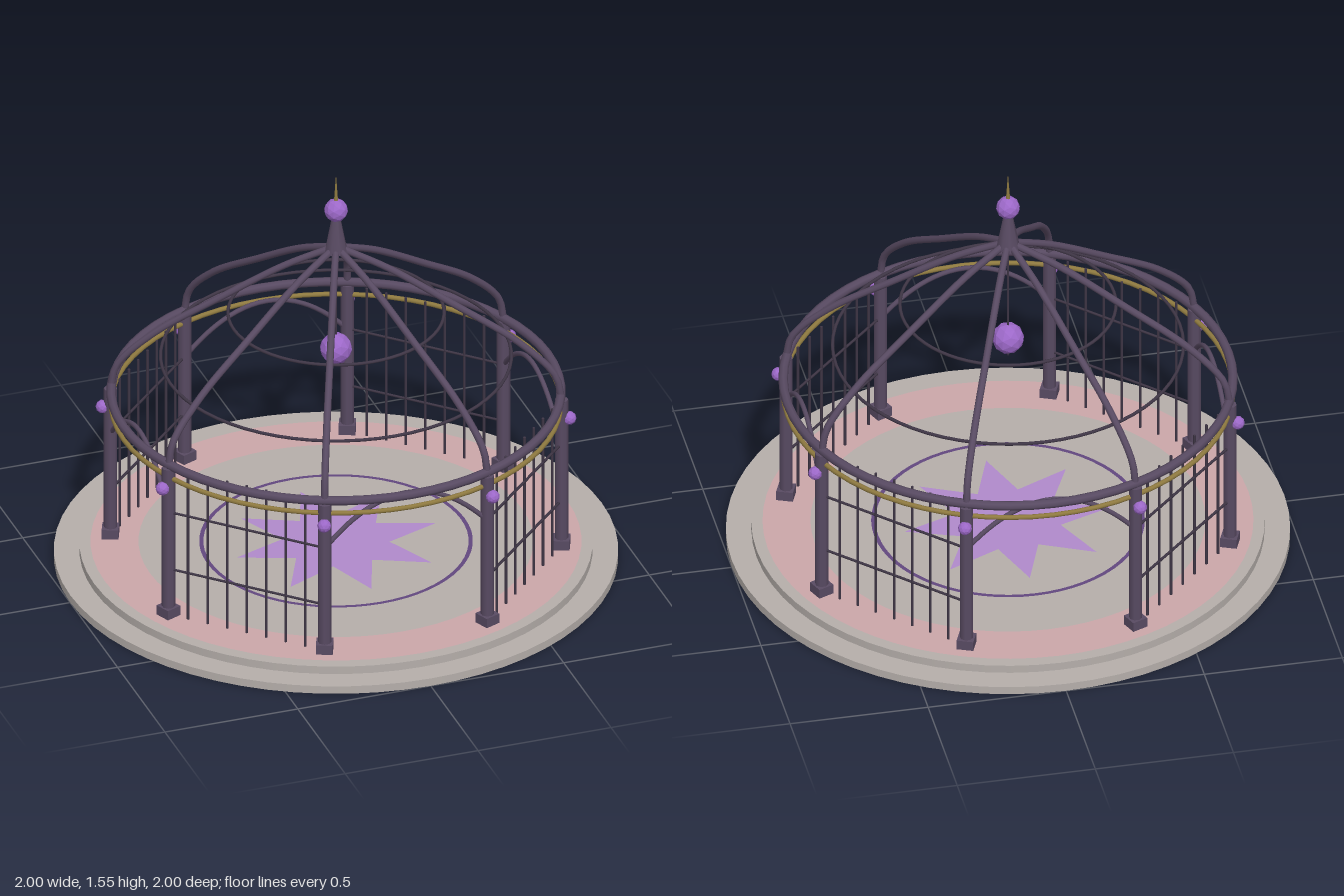
import * as THREE from 'three';

const mat = (name, color, extra = {}) => {
  const m = new THREE.MeshStandardMaterial({ color, ...extra });
  m.name = name;
  return m;
};

export function createModel() {
  const stone = mat('stone', 0xb5aeaa);
  const pink = mat('pink stone', 0xcba6a9);
  const metal = mat('plum metal', 0x584a62);
  const dark = mat('dark iron', 0x3f3646);
  const inlay = mat('violet inlay', 0x62477f);
  const lilac = mat('lilac inlay', 0xb08acb);
  const glass = mat('violet glass', 0x9c68c8, { flatShading: true });
  const gold = mat('old gold', 0x8f7a40);

  const model = new THREE.Group();
  model.name = 'pavilion';
  const add = (parent, name, geo, material, x = 0, y = 0, z = 0) => {
    const m = new THREE.Mesh(geo, material);
    m.name = name;
    m.position.set(x, y, z);
    parent.add(m);
    return m;
  };
  // Group turned so that its local +x points outward at angle a
  const spoke = (name, a) => {
    const g = new THREE.Group();
    g.name = name;
    g.rotation.y = -a;
    model.add(g);
    return g;
  };
  const hoop = (name, r, tube, y, material) => {
    add(model, name, new THREE.TorusGeometry(r, tube, 8, 64).rotateX(Math.PI / 2), material, 0, y, 0);
  };
  const flat = (name, geo, material, y) =>
    add(model, name, geo.rotateX(-Math.PI / 2), material, 0, y, 0);

  // Stepped floor with inlays
  add(model, 'lowerStep', new THREE.CylinderGeometry(1, 1, 0.03, 64), stone, 0, 0.015, 0);
  add(model, 'upperStep', new THREE.CylinderGeometry(0.91, 0.91, 0.03, 64), stone, 0, 0.045, 0);
  flat('pinkBand', new THREE.RingGeometry(0.7, 0.87, 64), pink, 0.063);
  flat('violetRing', new THREE.RingGeometry(0.47, 0.485, 64), inlay, 0.063);
  const star = new THREE.Shape();
  for (let i = 0; i < 16; i++) {
    const r = i % 2 ? 0.19 : 0.375, a = i * Math.PI / 8;
    star[i ? 'lineTo' : 'moveTo'](r * Math.cos(a), r * Math.sin(a));
  }
  star.closePath();
  flat('floorStar', new THREE.ShapeGeometry(star), lilac, 0.065);

  // Posts with foot, glass ball and roof rib
  const ribCurve = new THREE.CatmullRomCurve3([
    [0.8, 0.66], [0.778, 0.755], [0.65, 0.885], [0.417, 1.035], [0.185, 1.175], [0.02, 1.25],
  ].map(([x, y]) => new THREE.Vector3(x, y, 0)));
  const ribGeo = new THREE.TubeGeometry(ribCurve, 28, 0.013, 8);
  const postGeo = new THREE.CylinderGeometry(0.024, 0.024, 0.6, 8);
  const footGeo = new THREE.BoxGeometry(0.06, 0.04, 0.06);
  const ballGeo = new THREE.IcosahedronGeometry(0.025, 1);
  for (let i = 0; i < 8; i++) {
    const g = spoke('postBay', (i + 0.5) * Math.PI / 4);
    add(g, 'post', postGeo, metal, 0.8, 0.36, 0);
    add(g, 'postFoot', footGeo, metal, 0.8, 0.08, 0);
    add(g, 'postBall', ballGeo, glass, 0.828, 0.585, 0);
    add(g, 'roofRib', ribGeo, metal);
  }

  // Sides alternate between open arches and barred panels
  const inset = 0.8 * Math.cos(Math.PI / 8), half = 0.8 * Math.sin(Math.PI / 8);
  const archCurve = new THREE.QuadraticBezierCurve3(
    new THREE.Vector3(inset, 0.495, -0.29), new THREE.Vector3(inset, 0.8, 0), new THREE.Vector3(inset, 0.495, 0.29));
  const archGeo = new THREE.TubeGeometry(archCurve, 24, 0.009, 8);
  const barGeo = new THREE.CylinderGeometry(0.005, 0.005, 0.6, 6);
  const railGeo = new THREE.CylinderGeometry(0.005, 0.005, half * 2, 6).rotateX(Math.PI / 2);
  for (let i = 0; i < 4; i++) {
    add(spoke('archSide', i * Math.PI / 2), 'arch', archGeo, metal);
    const panel = spoke('barredPanel', (i + 0.5) * Math.PI / 2);
    for (const y of [0.25, 0.48]) add(panel, 'rail', railGeo, dark, inset, y, 0);
    for (let k = 1; k < 8; k++) add(panel, 'bar', barGeo, dark, inset, 0.36, half * (k / 4 - 1));
  }

  // Hoops of the eaves and roof
  hoop('eavesRing', 0.797, 0.017, 0.67, metal);
  hoop('goldRing', 0.797, 0.009, 0.62, gold);
  hoop('lowerRoofHoop', 0.622, 0.006, 0.815, dark);
  hoop('upperRoofHoop', 0.383, 0.006, 0.99, dark);

  // Finial
  add(model, 'finialCone', new THREE.CylinderGeometry(0.015, 0.042, 0.14, 8), metal, 0, 1.31, 0);
  add(model, 'finialBall', new THREE.IcosahedronGeometry(0.043, 1), glass, 0, 1.405, 0);
  add(model, 'finialSpike', new THREE.ConeGeometry(0.008, 0.11, 8), gold, 0, 1.495, 0);

  // Hanging lantern
  add(model, 'lanternRod', new THREE.CylinderGeometry(0.004, 0.004, 0.36, 6), dark, 0, 1.07, 0);
  add(model, 'lanternBall', new THREE.IcosahedronGeometry(0.058, 1), glass, 0, 0.845, 0);
  add(model, 'lanternTip', new THREE.ConeGeometry(0.016, 0.03, 8).rotateX(Math.PI), metal, 0, 0.783, 0);

  return model;
}
